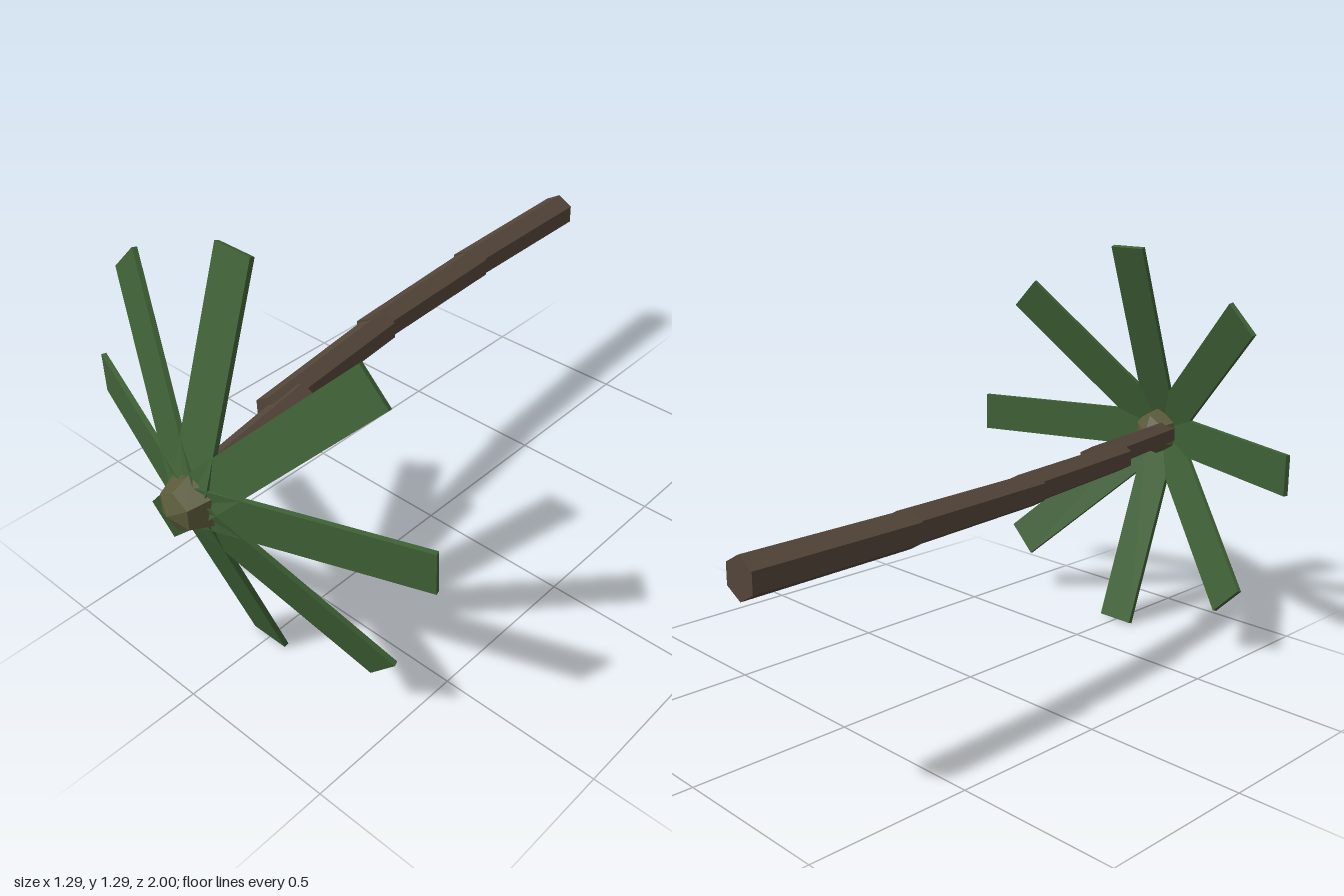
import * as THREE from 'three';

const Y = 0.645; // height of the trunk and hub axis

const paint = (color) => new THREE.MeshStandardMaterial({ color, flatShading: true });

// Tapered six-sided trunk piece running forward from (x0, z0) to (x1, z1)
function trunkSegment(x0, z0, r0, x1, z1, r1, material) {
  const from = new THREE.Vector3(x0, Y, z0);
  const to = new THREE.Vector3(x1, Y, z1);
  const geometry = new THREE.CylinderGeometry(r1, r0, from.distanceTo(to), 6);
  geometry.rotateX(Math.PI / 2); // axis along +z, corners up and down
  const mesh = new THREE.Mesh(geometry, material);
  mesh.position.copy(from).add(to).multiplyScalar(0.5);
  mesh.rotation.y = Math.atan2(x1 - x0, z1 - z0);
  return mesh;
}

export function createModel() {
  const model = new THREE.Group();
  const bark = paint(0x54463a);
  const green = paint(0x3f6136);

  // Trunk: four stepped pieces bending towards the hub
  const trunk = new THREE.Group();
  trunk.name = 'trunk';
  [
    [-0.265, -0.998, 0.059, -0.252, -0.46, 0.056],
    [-0.246, -0.5, 0.056, -0.212, 0.05, 0.051],
    [-0.206, -0.01, 0.052, -0.139, 0.53, 0.047],
    [-0.118, 0.415, 0.047, -0.028, 0.95, 0.041],
  ].forEach((s, i) => {
    const segment = trunkSegment(...s, bark);
    segment.name = `trunkSegment${i + 1}`;
    trunk.add(segment);
  });
  model.add(trunk);

  // Hub: low-poly ball with its pole facing front
  const hubGeometry = new THREE.SphereGeometry(0.086, 6, 4);
  hubGeometry.rotateY(Math.PI / 6);
  hubGeometry.rotateX(Math.PI / 2);
  hubGeometry.rotateZ(Math.PI / 6);
  hubGeometry.computeBoundingBox();
  // keep corners at top and bottom
  if (hubGeometry.boundingBox.max.y < 0.08) hubGeometry.rotateZ(Math.PI / 6);
  const hub = new THREE.Mesh(hubGeometry, paint(0x5a5a3a));
  hub.name = 'hub';
  hub.position.set(0, Y, 0.914);
  model.add(hub);

  // Fronds: eight thin blades swept backwards
  const fronds = new THREE.Group();
  fronds.name = 'fronds';
  fronds.position.set(0, Y, 0.932);
  const length = 0.68;
  const bladeGeometry = new THREE.BoxGeometry(length, 0.127, 0.015);
  bladeGeometry.translate(length / 2, 0, 0);
  bladeGeometry.rotateY(0.34);
  for (let i = 0; i < 8; i++) {
    const blade = new THREE.Mesh(bladeGeometry, green);
    blade.name = `frond${i + 1}`;
    blade.rotation.z = (i * Math.PI) / 4;
    fronds.add(blade);
  }
  model.add(fronds);

  return model;
}
